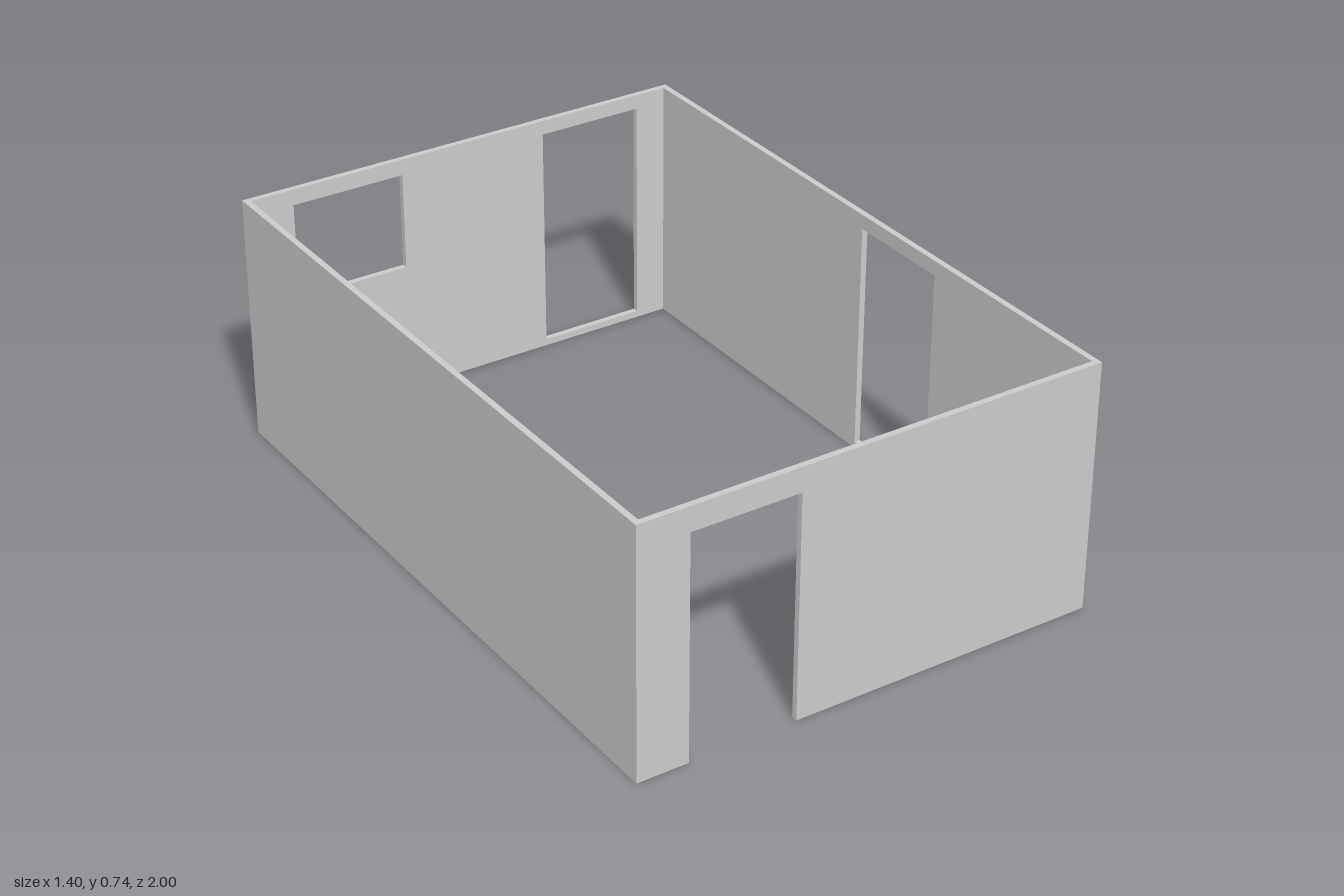
import * as THREE from 'three';

const HALF_X = 0.7, HALF_Z = 1, HEIGHT = 0.743, THICK = 0.018;
const material = new THREE.MeshStandardMaterial({ color: 0xcccccc });

// Wall outline, seen from outside, centred on its length; doorways cut through to the ground
function wallShape(half, doorways, holes) {
  const shape = new THREE.Shape();
  shape.moveTo(-half, 0);
  for (const [a, b, top] of doorways) {
    shape.lineTo(a, 0);
    shape.lineTo(a, top);
    shape.lineTo(b, top);
    shape.lineTo(b, 0);
  }
  shape.lineTo(half, 0);
  shape.lineTo(half, HEIGHT);
  shape.lineTo(-half, HEIGHT);
  shape.closePath();
  for (const [a, b, bottom, top] of holes) {
    const hole = new THREE.Path();
    hole.moveTo(a, bottom);
    hole.lineTo(a, top);
    hole.lineTo(b, top);
    hole.lineTo(b, bottom);
    hole.closePath();
    shape.holes.push(hole);
  }
  return shape;
}

// Extruded wall whose ends are mitred, then turned to face outwards
function makeWall({ name, half, distance, angle, doorways = [], holes = [] }) {
  const geometry = new THREE.ExtrudeGeometry(wallShape(half, doorways, holes), {
    depth: THICK, bevelEnabled: false,
  });
  geometry.translate(0, 0, -THICK);
  const p = geometry.attributes.position;
  for (let i = 0; i < p.count; i++) {
    const x = p.getX(i);
    if (p.getZ(i) < -THICK / 2 && Math.abs(x) > half - 1e-4) {
      p.setX(i, x - Math.sign(x) * THICK);
    }
  }
  geometry.computeVertexNormals();
  geometry.translate(0, 0, distance);
  geometry.rotateY(angle);
  const wall = new THREE.Mesh(geometry, material);
  wall.name = name;
  return wall;
}

export function createModel() {
  const group = new THREE.Group();
  group.name = 'roomWalls';
  const walls = [
    // Open doorway down to the ground
    { name: 'frontWall', half: HALF_X, distance: HALF_Z, angle: 0,
      doorways: [[-0.547, -0.224, 0.67]] },
    // Door opening above a low sill
    { name: 'sideWallWithDoor', half: HALF_Z, distance: HALF_X, angle: Math.PI / 2,
      holes: [[-0.335, -0.01, 0.02, 0.7]] },
    // Door opening and window
    { name: 'backWall', half: HALF_X, distance: HALF_Z, angle: Math.PI,
      holes: [[-0.587, -0.262, 0.02, 0.7], [0.205, 0.552, 0.4, 0.695]] },
    { name: 'plainSideWall', half: HALF_Z, distance: HALF_X, angle: -Math.PI / 2 },
  ];
  for (const wall of walls) group.add(makeWall(wall));
  return group;
}
